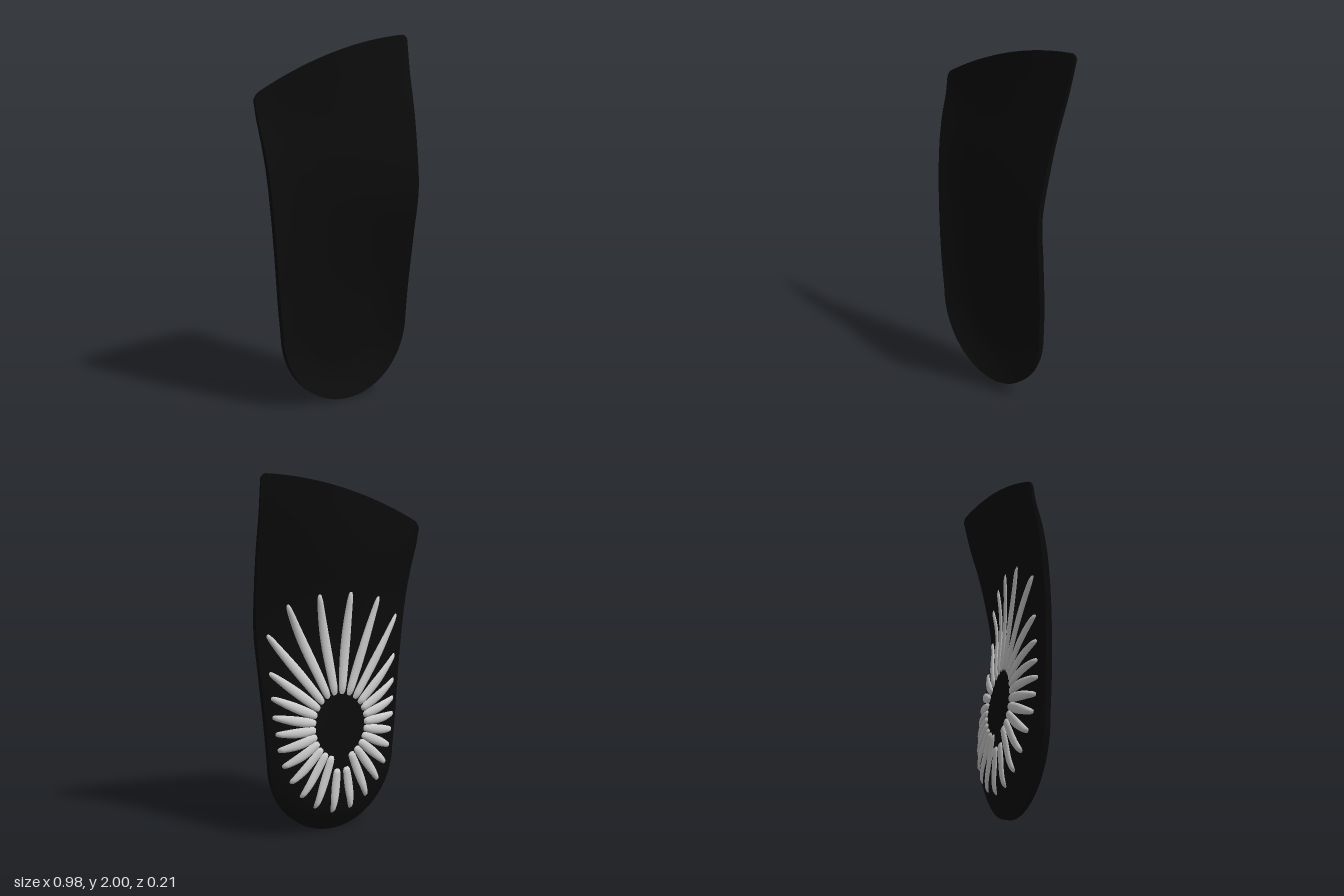
import * as THREE from 'three';
import { toCreasedNormals } from 'three/addons/utils/BufferGeometryUtils.js';

// Smooth lookup through [position, value] pairs
function track(...pairs) {
  const f = new THREE.CubicInterpolant(pairs.map(p => p[0]), pairs.map(p => p[1]), 1, [0]);
  return s => f.evaluate(s)[0];
}

// Plan outline: heel is a half ellipse, sides flare towards the toe end
const HEEL = 0.42;
const sideR = track([0.42, 0.4], [0.6, 0.41], [0.9, 0.425], [1.2, 0.44], [1.5, 0.456], [2, 0.487]);
const sideL = track([0.42, 0.4], [0.6, 0.417], [0.9, 0.435], [1.2, 0.453], [1.5, 0.472], [2, 0.49]);
const heelWidth = s => 0.4 * Math.sqrt(Math.max(0, 1 - ((HEEL - s) / HEEL) ** 2));
const right = s => (s < HEEL ? heelWidth(s) : sideR(s));
const left = s => -(s < HEEL ? heelWidth(s) : sideL(s));

// Heights along the length: rims (upper face), floor (lower face), thickness
const rimR = track([0, 0.04], [0.4, 0.041], [0.6, 0.05], [0.9, 0.08], [1.15, 0.104], [1.4, 0.066], [1.6, 0.02], [1.8, -0.04], [2, -0.088]);
const rimL = track([0, 0.04], [0.4, 0.04], [0.85, 0.04], [1.2, 0.02], [1.48, -0.02], [1.75, -0.065], [2, -0.085]);
const floor = track([0, -0.076], [0.6, -0.072], [1, -0.065], [1.3, -0.07], [1.6, -0.1], [2, -0.1]);
const thick = track([0, 0.03], [0.6, 0.034], [1.2, 0.034], [1.6, 0.025], [2, 0.012]);

// Lower surface height: bowl at the heel and outer side, sloping arch at the inner side
function underside(u, s) {
  const r = s < HEEL
    ? Math.min(1, Math.hypot(u * heelWidth(s) / 0.4, (HEEL - s) / HEEL))
    : Math.abs(u);
  const f = floor(s);
  const bowl = Math.max(0, (r - 0.5) / 0.5) ** 2;
  const arch = THREE.MathUtils.smoothstep(s, 0.45, 1.1);
  const slope = Math.max(0, (u + 0.3) / 1.3) ** 1.15;
  const rise = THREE.MathUtils.lerp(u > 0 ? bowl : 0, slope, arch);
  return u > 0
    ? f + (rimR(s) - thick(s) - f) * rise
    : f + (rimL(s) - thick(s) - f) * bowl + (rimR(s) - thick(s) - f) * rise;
}

// Skin a list of equal-length point rings
function loft(rings, closed) {
  const n = rings[0].length, index = [];
  for (let i = 0; i < rings.length - 1; i++) {
    for (let j = 0; j < (closed ? n : n - 1); j++) {
      const a = i * n + j, b = i * n + (j + 1) % n;
      index.push(a, b, b + n, a, b + n, a + n);
    }
  }
  const g = new THREE.BufferGeometry();
  g.setAttribute('position', new THREE.Float32BufferAttribute(rings.flat(2), 3));
  g.setIndex(index);
  g.computeVertexNormals();
  return g;
}

// Thin shell, with a slanted, bowed toe edge and rounded corners
function makeShell() {
  const ROWS = 72, COLS = 44, rings = [];
  for (let i = 0; i <= ROWS; i++) {
    const s = 2 * (i / ROWS) ** 2;
    const k = Math.max(0, (s - 1.3) / 0.7) ** 1.5;
    const front = [], back = [];
    for (let j = 0; j <= COLS; j++) {
      const u = -Math.cos(Math.PI * j / COLS);
      const x = THREE.MathUtils.lerp(left(s), right(s), (u + 1) / 2);
      const corner = Math.max(0, (Math.abs(u) - 0.94) / 0.06) ** 2;
      const y = s + k * (-0.15 * (1 - u) + 0.06 * (1 - u * u) - 0.025 * corner);
      const z = underside(u, s);
      front.push([x, y, z + thick(s)]);
      back.unshift([x, y, z]);
    }
    rings.push([...front, ...back]);
  }
  // Close the toe edge by folding the last ring to its middle
  const last = rings[ROWS], n = last.length;
  rings.push(last.map((p, j) => [p[0], p[1], (p[2] + last[n - 1 - j][2]) / 2]));
  return toCreasedNormals(loft(rings, true), 0.7);
}

// Raised rib running outwards from the oval under the heel
function makeRib(angle) {
  const c = Math.cos(angle), s = Math.sin(angle), STEPS = 28, ARC = 8;
  const nearGap = s < -0.985;
  const r0 = (nearGap ? 1.4 : 1) / Math.hypot(c / 0.15, s / 0.17);
  const r1 = s < 0 ? 1 / Math.hypot(c / 0.375, s / 0.5) : Math.min(0.745, 0.385 / Math.abs(c));
  const rings = [];
  for (let i = 0; i <= STEPS; i++) {
    const t = i / STEPS, r = THREE.MathUtils.lerp(r0, r1, t);
    const half = Math.min(0.021 + 0.008 * Math.sin(Math.PI * t) - 0.008 * t * t, r * 0.125);
    const end = Math.min(1, Math.sqrt(Math.min(t * 12, (1 - t) * 12)));
    const ring = [];
    for (let j = 0; j <= ARC; j++) {
      const a = Math.PI * j / ARC;
      const off = -Math.cos(a) * half * (0.55 + 0.45 * end);
      const x = c * r - s * off, y = 0.615 + s * r + c * off;
      const u = THREE.MathUtils.clamp((2 * x - left(y) - right(y)) / (right(y) - left(y)), -1, 1);
      ring.push([x, y, underside(u, y) + 0.003 - 0.017 * Math.sin(a) * end]);
    }
    rings.push(ring);
  }
  return loft(rings, false);
}

export function createModel() {
  const model = new THREE.Group();
  model.name = 'insole';

  const black = new THREE.MeshStandardMaterial({ color: 0x0b0b0b });
  const grey = new THREE.MeshStandardMaterial({ color: 0xcccccc });

  const shell = new THREE.Mesh(makeShell(), black);
  shell.name = 'shell';
  model.add(shell);

  // Fan of ribs on the underside
  const ribs = new THREE.Group();
  ribs.name = 'ribs';
  const COUNT = 26;
  for (let k = 0; k < COUNT; k++) {
    const rib = new THREE.Mesh(makeRib(-0.024 + k * 2 * Math.PI / COUNT), grey);
    rib.name = 'rib';
    ribs.add(rib);
  }
  model.add(ribs);
  return model;
}
